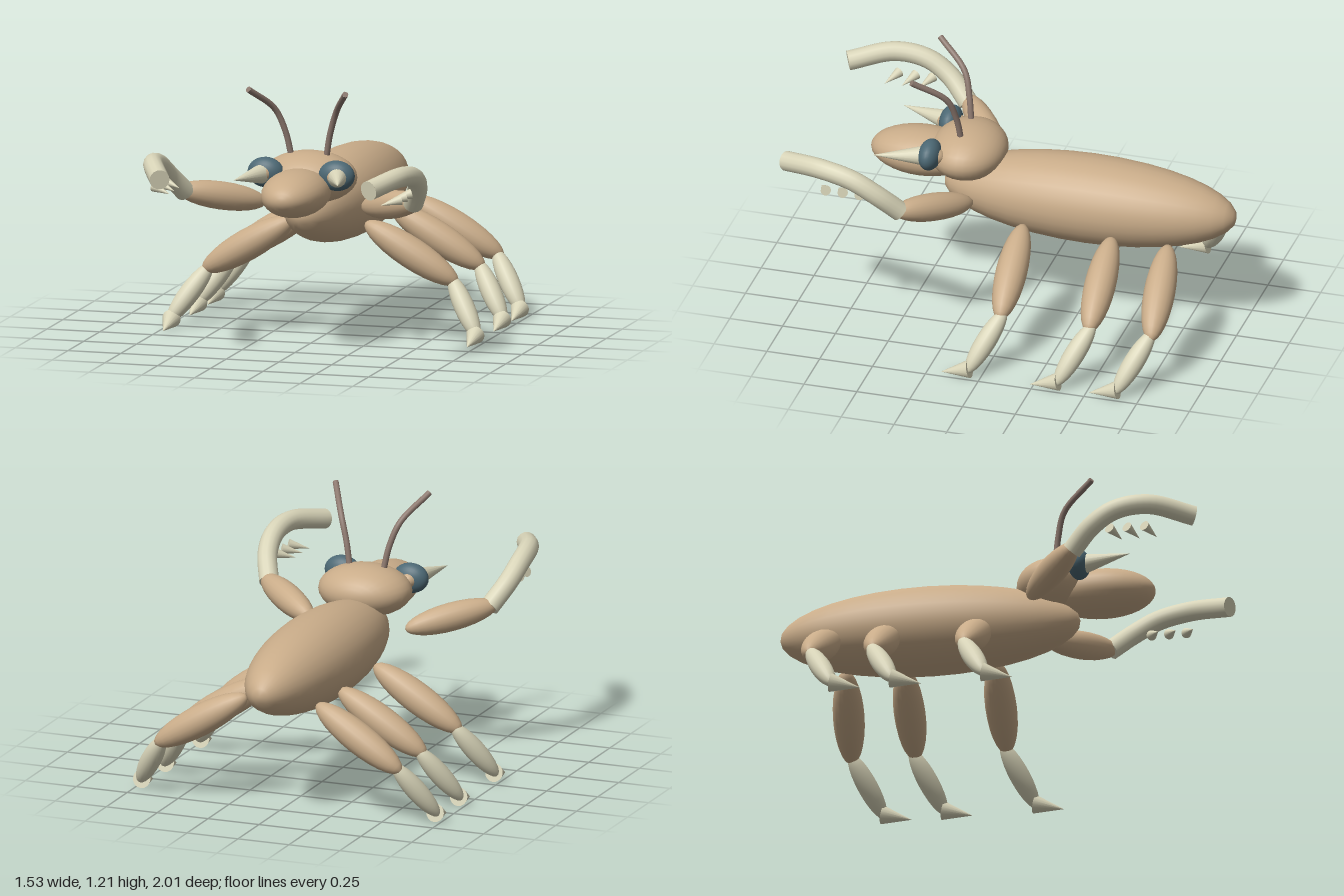
import * as THREE from 'three';

const mat = (name, color) => {
  const m = new THREE.MeshStandardMaterial({ color });
  m.name = name;
  return m;
};

export function createModel() {
  const tan = mat('tan shell', 0xc9ac89);
  const pale = mat('pale horn', 0xd8d4b8);
  const brown = mat('antenna brown', 0x8c786e);
  const blue = mat('eye blue', 0x4c6874);

  const model = new THREE.Group();
  model.name = 'insect';
  const V = (x, y, z) => new THREE.Vector3(x, y, z);
  const UP = V(0, 1, 0);

  const add = (name, geometry, material) => {
    const mesh = new THREE.Mesh(geometry, material);
    mesh.name = name;
    model.add(mesh);
    return mesh;
  };

  // Ellipsoid aligned to the axes
  const ellipsoid = (name, material, center, rx, ry, rz) => {
    const geometry = new THREE.SphereGeometry(1, 28, 18).rotateX(Math.PI / 2);
    const mesh = add(name, geometry, material);
    mesh.position.copy(center);
    mesh.scale.set(rx, ry, rz);
  };

  // Places a y-aligned mesh so that it runs from a to b
  const span = (mesh, a, b) => {
    mesh.position.copy(a).add(b).multiplyScalar(0.5);
    mesh.quaternion.setFromUnitVectors(UP, b.clone().sub(a).normalize());
  };

  // Spindle-shaped limb segment
  const spindle = (name, material, a, b, r) => {
    const mesh = add(name, new THREE.SphereGeometry(1, 20, 14), material);
    mesh.scale.set(r, a.distanceTo(b) / 2, r);
    span(mesh, a, b);
  };

  const cone = (name, material, base, tip, r) =>
    span(add(name, new THREE.ConeGeometry(r, base.distanceTo(tip), 16), material), base, tip);

  const tube = (name, material, points, r) => {
    const curve = new THREE.CatmullRomCurve3(points);
    add(name, new THREE.TubeGeometry(curve, 24, r, 14), material);
    // End caps
    for (const t of [0, 1]) {
      const cap = add(name + 'Cap', new THREE.CircleGeometry(r, 14), material);
      const outward = curve.getTangent(t).multiplyScalar(t ? 1 : -1);
      cap.position.copy(curve.getPoint(t));
      cap.quaternion.setFromUnitVectors(V(0, 0, 1), outward);
    }
  };

  // Trunk and head
  ellipsoid('body', tan, V(0, 0.607, -0.31), 0.214, 0.203, 0.69);
  ellipsoid('head', tan, V(0, 0.775, 0.265), 0.22, 0.12, 0.175);
  ellipsoid('snout', tan, V(0, 0.735, 0.48), 0.15, 0.107, 0.245);

  for (const s of [1, -1]) {
    const P = (x, y, z) => V(s * x, y, z);

    // Eyes, stalks, mandibles and antennae
    ellipsoid('eye', blue, P(0.168, 0.81, 0.4), 0.085, 0.07, 0.052);
    ellipsoid('eyeStalk', tan, P(0.17, 0.808, 0.4), 0.046, 0.043, 0.07);
    cone('mandible', pale, P(0.18, 0.806, 0.43), P(0.247, 0.81, 0.65), 0.045);
    tube('antenna', brown, [
      P(0.083, 0.87, 0.28), P(0.105, 0.98, 0.295),
      P(0.145, 1.09, 0.33), P(0.23, 1.2, 0.47)], 0.014);

    // Walking legs
    for (const z of [-0.05, -0.47, -0.75]) {
      const splay = z < -0.7 ? 0.022 : 0.008;
      spindle('thigh', tan, P(0.17, 0.518, z + splay), P(0.605, 0.257, z - splay), 0.072);
      spindle('shin', pale, P(0.565, 0.29, z - 0.025), P(0.735, 0.03, z + 0.11), 0.047);
      cone('foot', pale, P(0.72, 0.045, z + 0.1), P(0.72, 0.01, z + 0.235), 0.043);
    }

    // Grasping forelegs
    spindle('foreThigh', tan, P(0.23, 0.632, 0.182), P(0.575, 0.718, 0.45), 0.065);
    tube('foreArm', pale, [
      P(0.54, 0.705, 0.43), P(0.59, 0.8, 0.53), P(0.604, 0.866, 0.64),
      P(0.584, 0.891, 0.79), P(0.495, 0.858, 0.985)], 0.046);
    for (let i = 0; i < 3; i++) {
      const z = 0.61 + i * 0.08;
      cone('spike', pale, P(0.585, 0.785, z), P(0.5, 0.762, z + 0.045), 0.024);
    }
  }
  return model;
}
